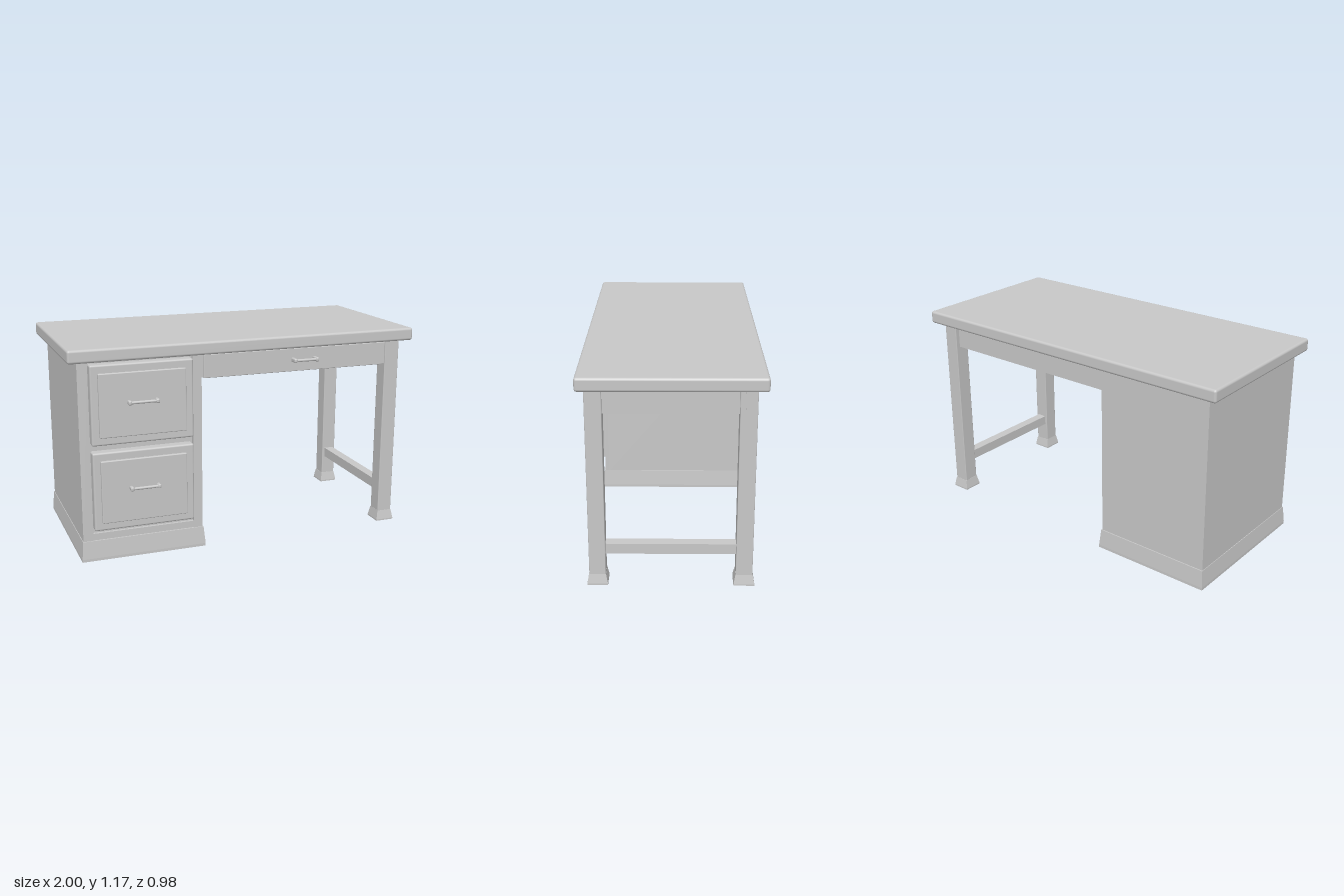
import * as THREE from 'three';
import { RoundedBoxGeometry } from 'three/addons/geometries/RoundedBoxGeometry.js';

export function createModel() {
  const desk = new THREE.Group();
  desk.name = 'desk';
  const grey = new THREE.MeshStandardMaterial({ color: 0xc8c8c8 });
  grey.name = 'grey';

  const add = (name, geometry, parent = desk) => {
    const mesh = new THREE.Mesh(geometry, grey);
    mesh.name = name;
    parent.add(mesh);
    return mesh;
  };

  // Box given by its limits, with an optional softened edge
  const block = (name, [x0, x1], [y0, y1], [z0, z1], edge = 0) => {
    const size = [x1 - x0, y1 - y0, z1 - z0];
    const geometry = edge ? new RoundedBoxGeometry(...size, 2, edge) : new THREE.BoxGeometry(...size);
    const mesh = add(name, geometry);
    mesh.position.set((x0 + x1) / 2, (y0 + y1) / 2, (z0 + z1) / 2);
    return mesh;
  };

  // Box whose upper face is drawn in by a margin on every side
  const flared = (name, xs, ys, zs, inset) => {
    const mesh = block(name, xs, ys, zs);
    const p = mesh.geometry.attributes.position;
    for (let i = 0; i < p.count; i++) {
      if (p.getY(i) < 0) continue;
      p.setX(i, p.getX(i) - Math.sign(p.getX(i)) * inset);
      p.setZ(i, p.getZ(i) - Math.sign(p.getZ(i)) * inset);
    }
    mesh.geometry.computeVertexNormals();
    return mesh;
  };

  // Bar pull on two posts, standing on a face at depth z
  const handle = (name, x, y, z, width, reach) => {
    const group = new THREE.Group();
    group.name = name;
    group.position.set(x, y, z);
    const grip = add('grip', new THREE.CylinderGeometry(0.008, 0.008, width - 0.02, 12), group);
    grip.rotation.z = Math.PI / 2;
    grip.position.z = reach - 0.011;
    for (const side of [-1, 1]) {
      const post = add('post', new RoundedBoxGeometry(0.02, 0.024, reach + 0.004, 2, 0.008), group);
      post.position.set(side * (width / 2 - 0.01), 0, reach / 2 - 0.002);
    }
    desk.add(group);
  };

  // Desktop, very slightly askew
  const top = block('desktop', [-0.996, 0.996], [1.095, 1.167], [-0.486, 0.458], 0.014);
  top.rotation.y = 0.004;

  // Drawer cabinet: body, front frame and plinth
  block('cabinetBody', [-0.94, -0.265], [0.1, 1.095], [-0.44, 0.395]);
  block('cabinetStile', [-0.94, -0.885], [0.1, 1.095], [0.39, 0.415]);
  block('cabinetStile', [-0.315, -0.265], [0.1, 1.095], [0.39, 0.415]);
  block('cabinetBottomRail', [-0.885, -0.315], [0.1, 0.15], [0.39, 0.411]);
  block('plinthFoot', [-0.952, -0.252], [0, 0.015], [-0.455, 0.43]);
  flared('plinth', [-0.952, -0.252], [0.015, 0.112], [-0.455, 0.43], 0.009);

  // Two cabinet drawers with raised panels
  for (const [y0, y1] of [[0.175, 0.61], [0.648, 1.08]]) {
    block('drawerFront', [-0.88, -0.322], [y0, y1], [0.38, 0.447], 0.01);
    block('drawerPanel', [-0.84, -0.366], [y0 + 0.044, y1 - 0.044], [0.435, 0.462], 0.005);
    handle('drawerHandle', -0.605, (y0 + y1) / 2 + 0.013, 0.461, 0.17, 0.034);
  }

  // Pencil drawer across the knee space
  block('pencilDrawerFront', [-0.25, 0.846], [0.958, 1.088], [0.372, 0.41], 0.004);
  block('drawerRail', [-0.27, 0.86], [0.962, 1.096], [0.36, 0.4]);
  handle('pencilDrawerHandle', 0.335, 1.025, 0.41, 0.15, 0.05);

  // Legs with flared feet
  for (const [z0, z1] of [[0.328, 0.415], [-0.44, -0.352]]) {
    block('leg', [0.845, 0.932], [0.05, 1.095], [z0, z1], 0.004);
    block('footBase', [0.834, 0.942], [0, 0.008], [z0 - 0.011, z1 + 0.011]);
    flared('foot', [0.834, 0.942], [0.008, 0.06], [z0 - 0.011, z1 + 0.011], 0.01);
  }

  // Aprons and stretcher; the back apron ends in a through tenon
  block('backApron', [-0.27, 0.934], [0.955, 1.094], [-0.415, -0.38]);
  block('sideApron', [0.872, 0.912], [0.955, 1.096], [-0.36, 0.34]);
  block('sideStretcher', [0.86, 0.917], [0.174, 0.232], [-0.36, 0.34]);

  return desk;
}
